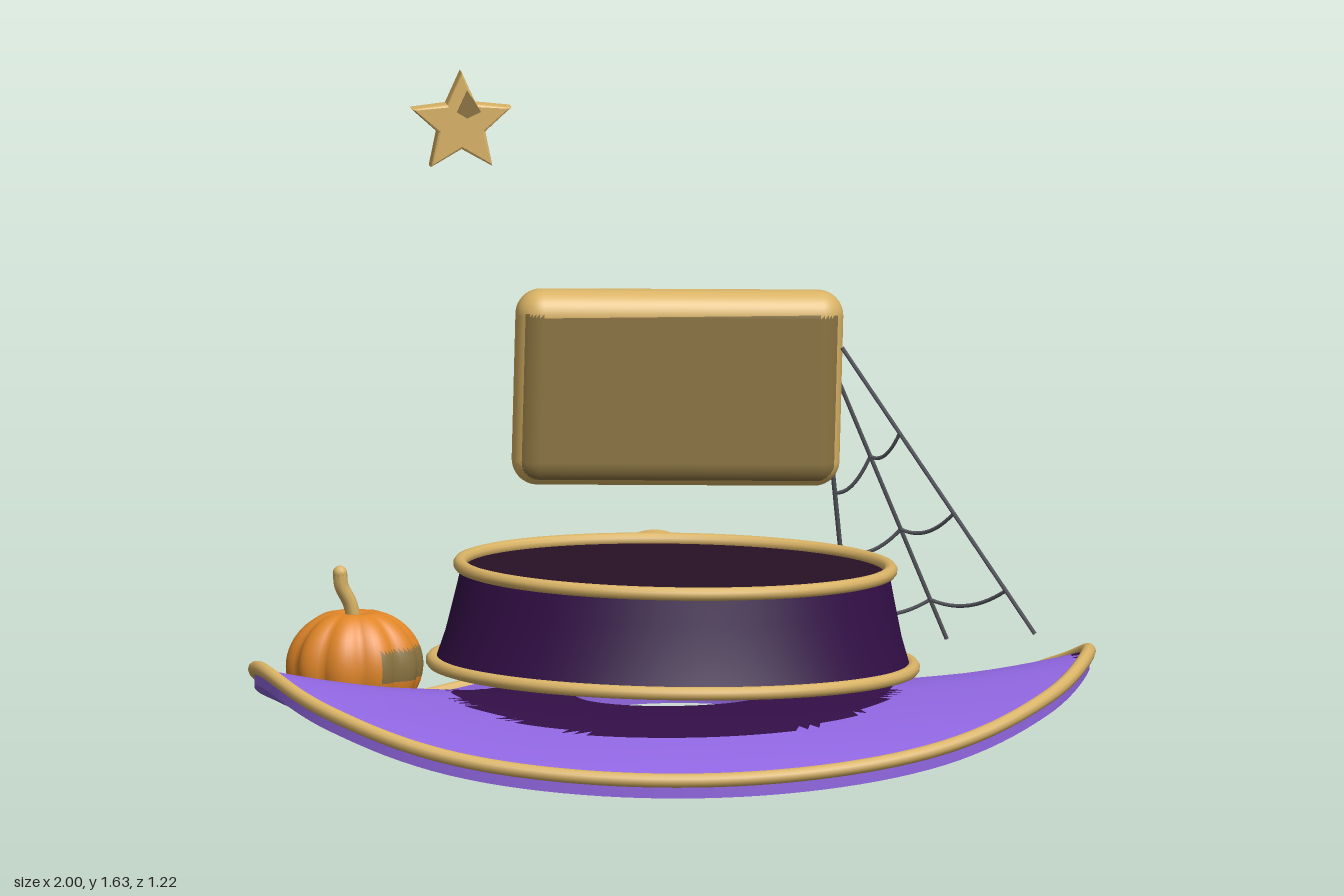
import * as THREE from 'three';
import { mergeVertices, toCreasedNormals } from 'three/addons/utils/BufferGeometryUtils.js';
import { RoundedBoxGeometry } from 'three/addons/geometries/RoundedBoxGeometry.js';

const V = (x, y, z) => new THREE.Vector3(x, y, z);

function material(name, color, side = THREE.FrontSide) {
  const m = new THREE.MeshStandardMaterial({ color, side });
  m.name = name;
  return m;
}

// Sort triangles into two material groups: 0 by default, 1 where rule(centre, normal) holds
function paint(source, rule) {
  const g = source.index ? source.toNonIndexed() : source;
  const p = g.attributes.position, n = g.attributes.normal;
  const pos = [[], []], nor = [[], []];
  for (let i = 0; i < p.count; i += 3) {
    const c = V(0, 0, 0), m = V(0, 0, 0), v = V(0, 0, 0);
    for (let k = i; k < i + 3; k++) {
      c.addScaledVector(v.fromBufferAttribute(p, k), 1 / 3);
      m.addScaledVector(v.fromBufferAttribute(n, k), 1 / 3);
    }
    const b = rule(c, m) ? 1 : 0;
    for (let k = i; k < i + 3; k++) {
      pos[b].push(p.getX(k), p.getY(k), p.getZ(k));
      nor[b].push(n.getX(k), n.getY(k), n.getZ(k));
    }
  }
  const out = new THREE.BufferGeometry();
  out.setAttribute('position', new THREE.Float32BufferAttribute(pos[0].concat(pos[1]), 3));
  out.setAttribute('normal', new THREE.Float32BufferAttribute(nor[0].concat(nor[1]), 3));
  out.addGroup(0, pos[0].length / 3, 0);
  out.addGroup(pos[0].length / 3, pos[1].length / 3, 1);
  return out;
}

// Closed elliptical piping whose height follows yAt(z / rz)
function ellipseTube(rx, rz, yAt, r) {
  const pts = [];
  for (let i = 0; i < 96; i++) {
    const a = i / 96 * Math.PI * 2;
    pts.push(V(rx * Math.cos(a), yAt(Math.sin(a)), rz * Math.sin(a)));
  }
  return new THREE.TubeGeometry(new THREE.CatmullRomCurve3(pts, true), 192, r, 10, true);
}

const tube = (pts, r, segments = 16) =>
  new THREE.TubeGeometry(new THREE.CatmullRomCurve3(pts), segments, r, 8);

// Wavy brim edge height, from back (-1) to front (1)
const edge = new THREE.CubicInterpolant(
  [-1, -0.83, -0.67, -0.33, 0.12, 0.5, 0.83, 1],
  [0.115, 0.063, 0.072, 0.165, 0.235, 0.17, 0.08, 0.04], 1);
const edgeY = c => edge.evaluate(THREE.MathUtils.clamp(c, -1, 1))[0];

function brimGeometry() {
  const rings = 18, around = 128, inner = 0.23, thick = 0.042, profile = [], pos = [], index = [];
  for (let i = 0; i <= rings; i++) profile.push([inner + (1 - inner) * i / rings, -thick]);
  for (let i = rings; i >= 0; i--) profile.push([inner + (1 - inner) * i / rings, 0]);
  const n = profile.length;
  for (let j = 0; j < around; j++) {
    const a = j / around * Math.PI * 2;
    for (const [t, dy] of profile) {
      const y = THREE.MathUtils.lerp(0.142, edgeY(Math.sin(a)), t ** 2.6) + dy;
      pos.push(0.986 * t * Math.cos(a), y, 0.597 * t * Math.sin(a));
    }
  }
  for (let j = 0; j < around; j++) for (let i = 0; i < n; i++) {
    const a = j * n + i, b = j * n + (i + 1) % n;
    const c = ((j + 1) % around) * n + i, d = ((j + 1) % around) * n + (i + 1) % n;
    index.push(a, b, c, b, d, c);
  }
  const g = new THREE.BufferGeometry();
  g.setAttribute('position', new THREE.Float32BufferAttribute(pos, 3));
  g.setIndex(index);
  return toCreasedNormals(g, 0.8);
}

function pumpkinGeometry() {
  let g = new THREE.SphereGeometry(1, 80, 32);
  g.deleteAttribute('uv');
  g.deleteAttribute('normal');
  g = mergeVertices(g);
  const p = g.attributes.position;
  for (let i = 0; i < p.count; i++) {
    const x = p.getX(i), y = p.getY(i), z = p.getZ(i);
    const rib = 0.9 + 0.1 * Math.abs(Math.cos(5 * Math.atan2(z, x)));
    const dimple = 1 - 0.15 * Math.exp(-(x * x + z * z) * 14);
    p.setXYZ(i, x * rib * 0.163, y * dimple * 0.138, z * rib * 0.13);
  }
  g.computeVertexNormals();
  return g;
}

export function createModel() {
  const root = new THREE.Group();
  const purple = material('brim purple', 0x9066e0);
  const dark = material('crown purple', 0x330f47, THREE.DoubleSide);
  const topDark = material('crown top plum', 0x281026);
  const gold = material('gold', 0xd9b366);
  const olive = material('dark gold', 0x8a7341);
  const orange = material('pumpkin orange', 0xe08628);
  const white = material('plate white', 0xe2ddd5);
  const grey = material('web grey', 0x5a5b62);
  const add = (name, geometry, mat, parent = root) => {
    const m = new THREE.Mesh(geometry, mat);
    m.name = name;
    parent.add(m);
    return m;
  };

  // Brim, dark below the crown and at one tip
  add('brim', paint(brimGeometry(), (c, n) => n.y > 0.3 &&
    ((c.x / 0.53) ** 2 + (c.z / 0.4) ** 2 < 1 || (c.x > 0.95 && c.z > -0.06))), [purple, dark]);
  add('brimTrim', ellipseTube(0.984, 0.594, edgeY, 0.017), gold);

  // Crown, floating slightly above the brim with a small tilt
  const crown = new THREE.Group();
  crown.name = 'crown';
  crown.position.set(0.002, 0.218, 0);
  crown.rotation.z = -0.026;
  root.add(crown);
  const lathe = pts => new THREE.LatheGeometry(pts.map(p => new THREE.Vector2(...p)), 96).scale(1, 1, 0.755);
  add('crownWall', lathe([[0.56, 0], [0.538, 0.07], [0.52, 0.15], [0.503, 0.23]]), dark, crown);
  add('crownTop', lathe([[0.503, 0.222], [0, 0.222]]), topDark, crown);
  add('crownLowerTrim', ellipseTube(0.567, 0.428, () => 0, 0.016), gold, crown);
  add('crownUpperTrim', ellipseTube(0.508, 0.384, () => 0.23, 0.016), gold, crown);

  // Upright board with a backing plate
  const board = new THREE.Group();
  board.name = 'board';
  board.position.set(0.055, 0.818, -0.335);
  board.rotation.z = -0.026;
  root.add(board);
  add('boardBody', paint(new RoundedBoxGeometry(0.775, 0.465, 0.125, 6, 0.06),
    (c, n) => n.z > 0.7 && c.y < 0.178), [gold, olive], board);
  add('backPlate', new RoundedBoxGeometry(0.71, 0.41, 0.07, 4, 0.022), white, board).position.set(0.007, -0.003, -0.068);

  // Floating star with a dark facet
  const star = new THREE.Group();
  star.name = 'star';
  star.position.set(-0.49, 1.502, -0.083);
  root.add(star);
  const starShape = new THREE.Shape();
  for (let i = 0; i < 10; i++) {
    const a = Math.PI / 2 + i * Math.PI / 5, r = i % 2 ? 0.052 : 0.116;
    starShape[i ? 'lineTo' : 'moveTo'](r * Math.cos(a), r * Math.sin(a));
  }
  starShape.closePath();
  add('starBody', new THREE.ExtrudeGeometry(starShape, {
    depth: 0.036, bevelSize: 0.006, bevelThickness: 0.008, bevelSegments: 2 }).translate(0, 0, -0.018), gold, star);
  const facet = new THREE.Shape([[-0.012, 0.03], [0.012, 0.015], [0.045, 0.03], [0.03, 0.055], [0.012, 0.082]]
    .map(p => new THREE.Vector2(...p)));
  add('starFacet', new THREE.ExtrudeGeometry(facet, { depth: 0.003, bevelEnabled: false }), olive, star).position.z = 0.025;

  // Crescent moon on the back of the crown, open towards -x
  const moonShape = new THREE.Shape();
  moonShape.absarc(0, 0, 0.115, -2.3, 2.3, false);
  const tip = V(0.115 * Math.cos(2.3), 0.115 * Math.sin(2.3), 0), cx = -0.06;
  const bite = Math.atan2(tip.y, tip.x - cx), biteR = Math.hypot(tip.x - cx, tip.y);
  moonShape.absarc(cx, 0, biteR, bite, -bite, true);
  const moon = add('moon', new THREE.ExtrudeGeometry(moonShape, { depth: 0.03, curveSegments: 28,
    bevelSize: 0.006, bevelThickness: 0.008, bevelSegments: 3 }).translate(0, 0, -0.015), gold);
  moon.position.set(0.012, 0.338, -0.442);
  moon.rotation.x = 0.08;

  // Pumpkin sunk into the brim, smiling backwards
  const pumpkin = new THREE.Group();
  pumpkin.name = 'pumpkin';
  pumpkin.position.set(-0.715, 0.18, -0.29);
  root.add(pumpkin);
  add('pumpkinBody', paint(pumpkinGeometry(), c => c.x > 0.05 && c.y > -0.03 && c.y < 0.045), [orange, olive], pumpkin);
  add('pumpkinStem', new THREE.TubeGeometry(new THREE.CatmullRomCurve3(
    [V(0, 0.1, 0), V(-0.012, 0.15, 0.003), V(-0.032, 0.19, 0.008), V(-0.036, 0.224, 0.01)]), 12, 0.017, 8), gold, pumpkin);
  add('pumpkinStemTip', new THREE.SphereGeometry(0.017, 10, 8), gold, pumpkin).position.set(-0.036, 0.222, 0.01);
  const onBack = (u, v) => V(u * 0.16, v * 0.137, -0.13 * Math.sqrt(1 - u * u - v * v));
  const smile = [], steps = [-1, -0.67, -0.33, 0, 0.33, 0.67, 1];
  for (const s of steps) smile.push(onBack(s * 0.52, -0.42 + 0.25 * s * s));
  add('pumpkinSmile', tube(smile, 0.008, 24), gold, pumpkin);
  for (const side of [-1, 1]) {
    const eye = steps.map(s => onBack(side * 0.42 + s * 0.13, 0.18 - 0.14 * s * s));
    add('pumpkinEye', tube(eye, 0.008), gold, pumpkin);
  }

  // Cobweb: three long strands and sagging cross threads
  const web = new THREE.Group();
  web.name = 'cobweb';
  root.add(web);
  const strands = [
    [V(0.44, 0.91, -0.302), V(0.895, 0.22, -0.29)],
    [V(0.435, 0.83, -0.343), V(0.71, 0.18, -0.478)],
    [V(0.42, 0.7, -0.392), V(0.487, 0.17, -0.535)],
  ];
  for (const [a, b] of strands) add('webStrand', new THREE.TubeGeometry(new THREE.LineCurve3(a, b), 1, 0.0055, 6), grey, web);
  for (const t of [0.3, 0.58, 0.85]) for (let i = 0; i < 2; i++) {
    const a = strands[i][0].clone().lerp(strands[i][1], t);
    const b = strands[i + 1][0].clone().lerp(strands[i + 1][1], t);
    const mid = a.clone().lerp(b, 0.5);
    mid.y -= 0.05;
    add('webThread', new THREE.TubeGeometry(new THREE.QuadraticBezierCurve3(a, mid, b), 12, 0.0045, 6), grey, web);
  }
  return root;
}
